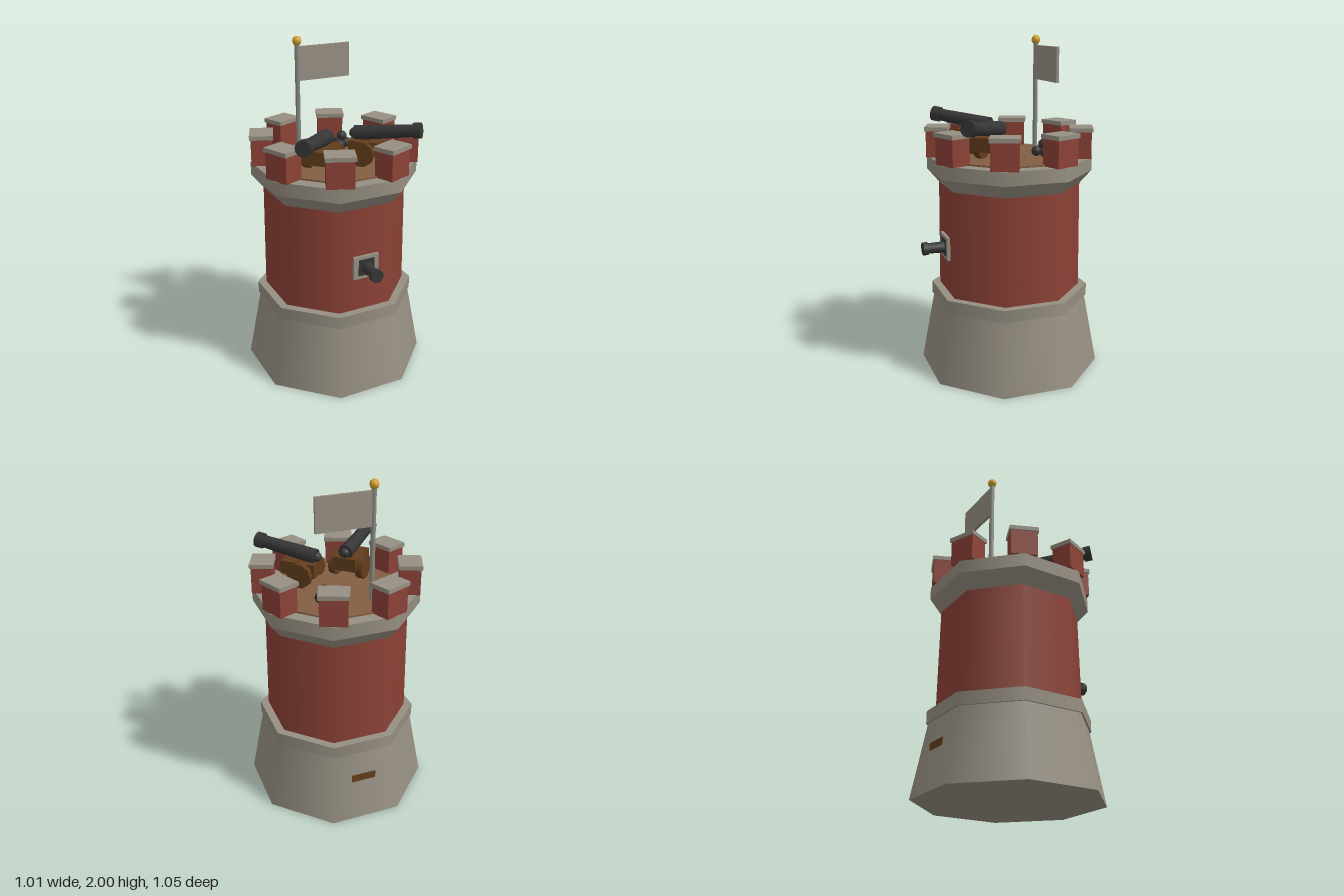
import * as THREE from 'three';

const mat = (name, color) => {
  const m = new THREE.MeshStandardMaterial({ color });
  m.name = name;
  return m;
};

export function createModel() {
  const stone = mat('stone', 0x968f82);
  const brick = mat('red brick', 0x8c4236);
  const planks = mat('deck planks', 0x835f42);
  const wood = mat('dark wood', 0x623d1c);
  const iron = mat('iron', 0x353536);
  const steel = mat('pole grey', 0x8a8a84);
  const gold = mat('gold', 0xd2a02c);

  const model = new THREE.Group();
  model.name = 'cannonTower';

  const add = (parent, name, geometry, material, x = 0, y = 0, z = 0) => {
    const mesh = new THREE.Mesh(geometry, material);
    mesh.name = name;
    mesh.position.set(x, y, z);
    parent.add(mesh);
    return mesh;
  };
  const box = (w, h, d) => new THREE.BoxGeometry(w, h, d);

  // Eight-sided tower sections, sized by the distance from axis to flat side
  const tower = new THREE.Group();
  tower.name = 'tower';
  tower.position.z = -0.017;
  model.add(tower);
  const section = (name, material, y0, y1, a0, a1) => {
    const k = 1 / Math.cos(Math.PI / 8);
    const g = new THREE.CylinderGeometry(a1 * k, a0 * k, y1 - y0, 8).rotateY(Math.PI / 8);
    add(tower, name, g, material, 0, (y0 + y1) / 2, 0);
  };
  section('base', stone, 0, 0.43, 0.507, 0.432);
  section('baseBand', stone, 0.43, 0.505, 0.442, 0.442);
  section('shaft', brick, 0.505, 1.14, 0.396, 0.39);
  section('corbel', stone, 1.14, 1.22, 0.39, 0.455);
  section('crownBand', stone, 1.22, 1.3, 0.455, 0.455);
  section('deck', planks, 1.29, 1.31, 0.38, 0.38);

  // Battlements on the eight corners
  for (let i = 0; i < 8; i++) {
    const merlon = new THREE.Group();
    merlon.name = 'merlon';
    merlon.rotation.y = Math.PI / 8 + (i * Math.PI) / 4;
    add(merlon, 'merlonBlock', box(0.155, 0.158, 0.12), brick, 0, 1.378, 0.424);
    add(merlon, 'merlonCap', box(0.17, 0.025, 0.136), stone, 0, 1.4675, 0.424);
    tower.add(merlon);
  }

  // Back door, sunk into the sloping base
  add(model, 'door', box(0.15, 0.285, 0.05), wood, 0, 0.1425, -0.457);

  // Barrel pointing along +z, muzzle end at z = 0
  const makeBarrel = (name) => {
    const barrel = new THREE.Group();
    barrel.name = name;
    const tube = (part, r0, r1, z0, z1) => add(barrel, part,
      new THREE.CylinderGeometry(r1, r0, z1 - z0, 12).rotateX(Math.PI / 2), iron, 0, 0, (z0 + z1) / 2);
    tube('barrelTube', 0.045, 0.036, -0.39, -0.03);
    tube('muzzleRing', 0.046, 0.046, -0.046, 0);
    add(barrel, 'breechKnob', new THREE.SphereGeometry(0.03, 10, 8), iron, 0, 0, -0.395);
    return barrel;
  };

  // Two deck cannons on wheeled carriages
  for (const side of [-1, 1]) {
    const cannon = new THREE.Group();
    cannon.name = side > 0 ? 'leftCannon' : 'rightCannon';
    cannon.position.set(side * 0.136, 0, 0.117);
    cannon.rotation.y = (side * Math.PI) / 4;
    model.add(cannon);
    add(cannon, 'carriage', box(0.143, 0.08, 0.22), wood, 0, 1.41, 0.025);
    for (const s of [-1, 1]) {
      const wheel = new THREE.CylinderGeometry(0.075, 0.075, 0.042, 10).rotateZ(Math.PI / 2);
      add(cannon, 'wheel', wheel, wood, s * 0.087, 1.385, 0);
    }
    const barrel = makeBarrel('barrel');
    barrel.position.set(0, 1.528, 0.323);
    barrel.rotation.x = -0.125;
    cannon.add(barrel);
  }

  // Gun port with a small cannon
  add(model, 'portFrame', box(0.16, 0.14, 0.04), stone, 0, 0.78, 0.373);
  add(model, 'portOpening', box(0.1, 0.1, 0.008), iron, 0, 0.78, 0.392);
  const portGun = makeBarrel('portCannon');
  portGun.scale.set(0.86, 0.86, 0.65);
  portGun.position.set(0, 0.776, 0.523);
  model.add(portGun);

  // Pile of cannonballs
  const balls = [[0.107, 1.34, -0.15], [0.16, 1.34, -0.18], [0.128, 1.34, -0.215], [0.135, 1.385, -0.182]];
  for (const [x, y, z] of balls) {
    add(model, 'cannonball', new THREE.SphereGeometry(0.03, 10, 8), iron, x, y, z);
  }

  // Flag
  add(model, 'flagpole', new THREE.CylinderGeometry(0.015, 0.015, 0.65, 8), steel, -0.13, 1.635, -0.235);
  add(model, 'finial', new THREE.SphereGeometry(0.028, 8, 6), gold, -0.13, 1.972, -0.235);
  add(model, 'flag', box(0.325, 0.2, 0.016), stone, 0.042, 1.84, -0.235);

  return model;
}
